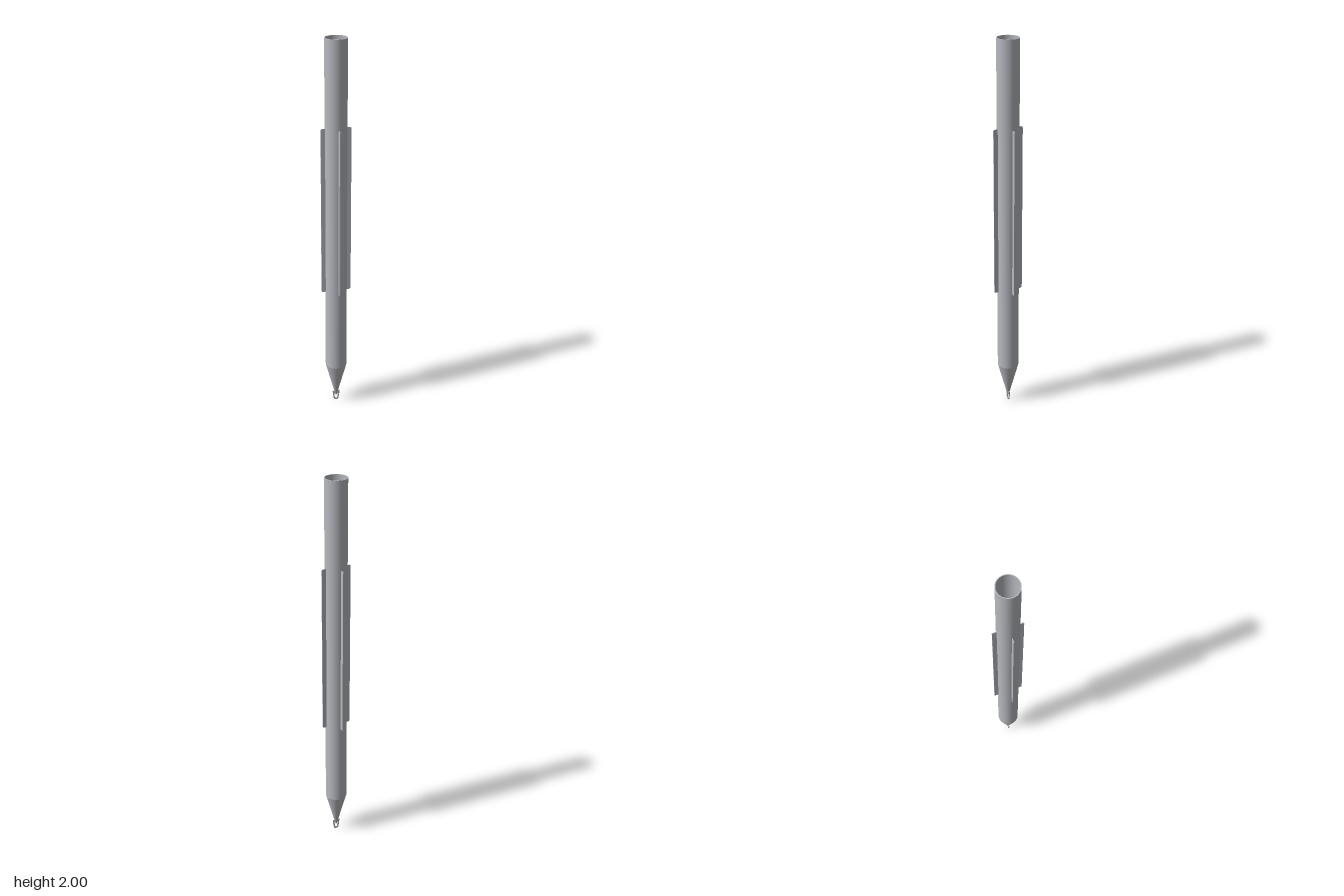
import * as THREE from 'three';

const V = (x, y) => new THREE.Vector2(x, y);

export function createModel() {
  const group = new THREE.Group();
  const bodyMetal = new THREE.MeshStandardMaterial({ color: 0xb6b9be });
  bodyMetal.name = 'bodyMetal';

  const add = (name, geometry, parent = group) => {
    const mesh = new THREE.Mesh(geometry, bodyMetal);
    mesh.name = name;
    parent.add(mesh);
    return mesh;
  };
  const lathe = (points) => new THREE.LatheGeometry(points, 48);

  // Hollow tube: each straight run is its own lathe so the edges stay crisp
  const R = 0.056, r = 0.052, top = 2, shoulder = 0.23, floorY = 0.12, floorR = 0.025;
  add('tubeOuterWall', lathe([V(R, shoulder), V(R, top)]));
  add('tubeRim', lathe([V(R, top), V(r, top)]));
  add('tubeInnerWall', lathe([V(r, top), V(r, shoulder)]));

  // Pointed end, inside and out
  add('tipCone', lathe([V(0, 0.03), V(0.004, 0.032), V(R, shoulder)]));
  add('tipInnerCone', lathe([V(r, shoulder), V(floorR, floorY)]));
  add('tipFloor', lathe([V(floorR, floorY), V(0, floorY)]));

  // Cross bars at the bottom of the bore
  for (const z of [-0.012, 0.012]) {
    add('boreBar', new THREE.BoxGeometry(0.042, 0.006, 0.007)).position.set(0, floorY + 0.008, z);
  }
  add('boreCrossBar', new THREE.BoxGeometry(0.014, 0.008, 0.046)).position.set(0, floorY + 0.003, 0);

  // Four thin guide fins with rounded outer corners
  const x0 = 0.053, x1 = 0.078, y0 = 0.676, y1 = 1.56, c = 0.009;
  const outline = new THREE.Shape();
  outline.moveTo(x0, y0);
  outline.lineTo(x1 - c, y0);
  outline.quadraticCurveTo(x1, y0, x1, y0 + c);
  outline.lineTo(x1, y1 - c);
  outline.quadraticCurveTo(x1, y1, x1 - c, y1);
  outline.lineTo(x0, y1);
  outline.closePath();
  const finGeometry = new THREE.ExtrudeGeometry(outline, { depth: 0.004, bevelEnabled: false, curveSegments: 6 });
  finGeometry.translate(0, 0, -0.002);
  for (let i = 0; i < 4; i++) add('fin', finGeometry).rotation.y = (i * Math.PI) / 2;

  // Flat eyelet below the point
  const eye = new THREE.Shape();
  eye.moveTo(-0.02, 0.056);
  eye.lineTo(-0.014, 0.012);
  eye.quadraticCurveTo(-0.012, 0, 0, 0);
  eye.quadraticCurveTo(0.012, 0, 0.014, 0.012);
  eye.lineTo(0.02, 0.056);
  eye.lineTo(0.008, 0.056);
  eye.lineTo(0, 0.044);
  eye.lineTo(-0.008, 0.056);
  eye.closePath();
  const hole = new THREE.Path();
  hole.moveTo(-0.011, 0.045);
  hole.lineTo(-0.007, 0.014);
  hole.quadraticCurveTo(0, 0.002, 0.007, 0.014);
  hole.lineTo(0.011, 0.045);
  hole.lineTo(0, 0.034);
  hole.closePath();
  eye.holes.push(hole);
  const eyelet = new THREE.ExtrudeGeometry(eye, { depth: 0.005, bevelEnabled: false, curveSegments: 8 });
  eyelet.translate(0, 0, -0.0025);
  add('eyelet', eyelet);

  return group;
}
